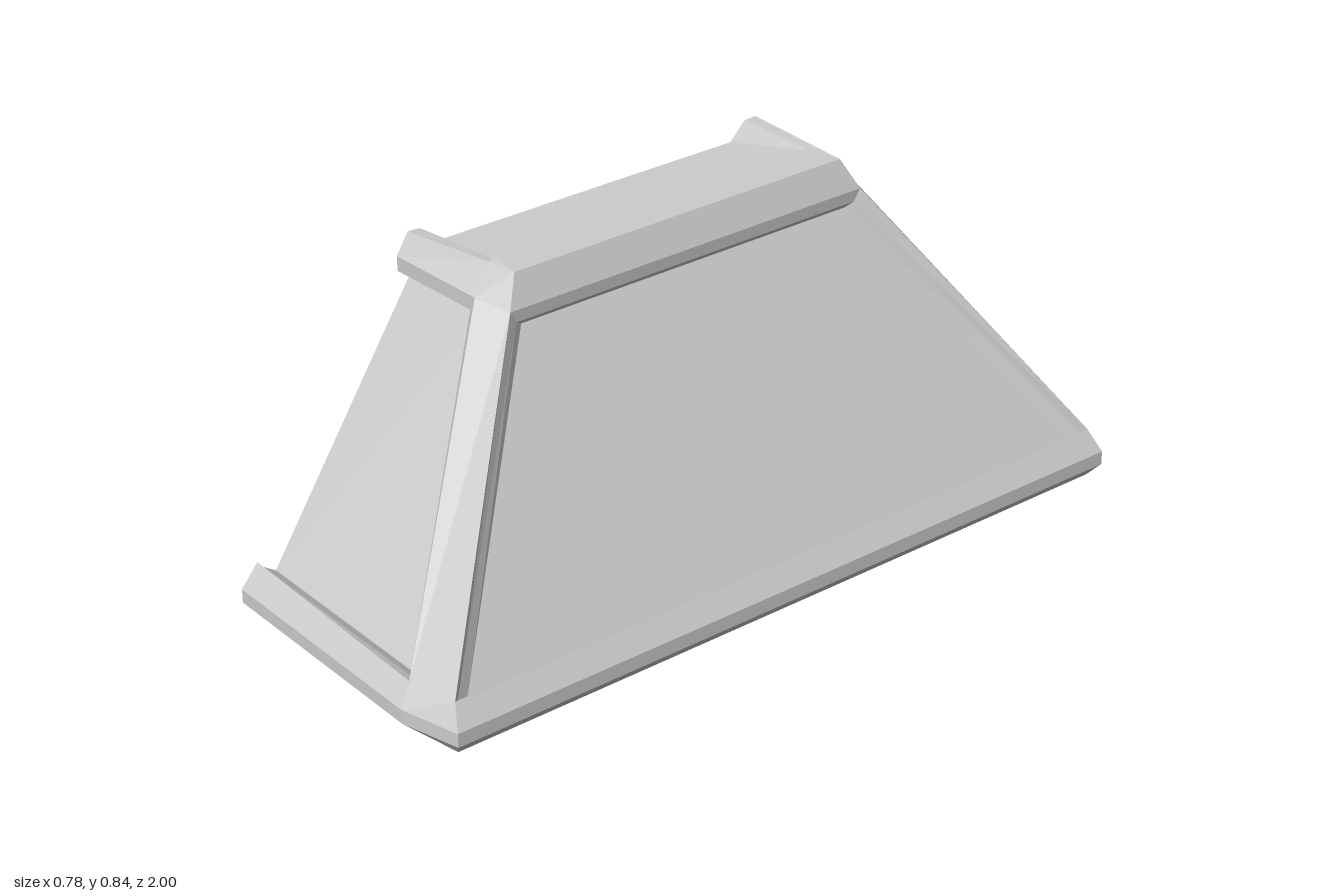
import * as THREE from 'three';

const material = new THREE.MeshStandardMaterial({ color: 0xcccccc, flatShading: true, side: THREE.DoubleSide });
const END = -0.39; // open cut end of the shell

// Skin between successive rows of points (columns run rightwards, rows run up/inwards)
function loft(name, rows) {
  const pos = [];
  for (let r = 0; r < rows.length - 1; r++) {
    const lo = rows[r], hi = rows[r + 1];
    for (let c = 0; c < lo.length - 1; c++) {
      pos.push(...lo[c], ...lo[c + 1], ...hi[c + 1], ...lo[c], ...hi[c + 1], ...hi[c]);
    }
  }
  const geometry = new THREE.BufferGeometry();
  geometry.setAttribute('position', new THREE.Float32BufferAttribute(pos, 3));
  geometry.computeVertexNormals();
  const mesh = new THREE.Mesh(geometry, material);
  mesh.name = name;
  return mesh;
}

// Front-to-back reflection, reversed so faces stay outward
const flip = (row) => row.map(([x, y, z]) => [x, y, -z]).reverse();
// Half a row on the front becomes a C running round to the back
const wrap = (half) => [...half, ...flip(half)];
// Four corners become two rows for a flat panel
const panel = (name, [a, b, c, d]) => loft(name, [[a, b], [d, c]]);

export function createModel() {
  const model = new THREE.Group();
  model.name = 'halfHippedCanopy';

  // Corners shared by rails, posts and recesses
  const baseEnd = [END, 0.13, 0.955], baseIn = [0.222, 0.125, 0.965], baseOut = [0.355, 0.13, 0.94];
  const topEnd = [END, 0.77, 0.54], topIn = [-0.1, 0.777, 0.535], topOut = [-0.008, 0.768, 0.507];

  // Chamfered base rail, with a small turned-in flange underneath
  model.add(loft('baseRail', [
    [[END, 0.025, 0.92], [0.2, 0.025, 0.92], [0.325, 0.025, 0.895]],
    [[END, 0.002, 0.925], [0.21, 0.002, 0.925], [0.33, 0.006, 0.9]],
    [[END, 0, 0.96], [0.23, 0, 0.96], [0.36, 0.005, 0.94]],
    [[END, 0.04, 1], [0.24, 0.04, 1], [0.39, 0.04, 0.96]],
    [[END, 0.075, 1], [0.24, 0.075, 1], [0.39, 0.075, 0.96]],
    [baseEnd, baseIn, baseOut],
  ].map(wrap)));

  // Top rail: flat outer faces, level top, stepping down to the roof panel
  const roof = [[END, 0.775, 0.43], [-0.145, 0.775, 0.43]];
  model.add(loft('topRail', [
    [topEnd, topIn, topOut],
    [[END, 0.822, 0.508], [-0.125, 0.838, 0.478], [-0.04, 0.842, 0.47]],
    [[END, 0.82, 0.475], [-0.135, 0.835, 0.457], [-0.135, 0.842, 0.455]],
    [...roof, roof[1]],
  ].map(wrap)));
  model.add(panel('roofPanel', wrap(roof)));

  // Corner posts and deeply recessed sloping end panels, front and back
  const post = [[baseIn, baseOut], [topIn, topOut]];
  const endPanel = [[END, 0.09, 0.908], [0.195, 0.09, 0.908], [-0.12, 0.72, 0.505], [END, 0.718, 0.505]];
  const endReveal = [
    [baseEnd, baseIn, topIn, topEnd],
    [[END, 0.115, 0.945], [0.2, 0.115, 0.942], [-0.117, 0.742, 0.536], [END, 0.733, 0.54]],
    endPanel,
  ];
  for (const side of ['front', 'back']) {
    const place = (row) => (side === 'front' ? row : flip(row));
    model.add(loft(side + 'Post', post.map(place)));
    model.add(loft(side + 'Reveal', endReveal.map(place)));
    model.add(panel(side + 'Panel', place(endPanel)));
  }

  // Long side panel, set slightly into its frame with a sloping border
  const sideLoop = (bottom, top) => [bottom, ...flip([top, bottom]), top];
  const sidePanel = sideLoop([0.335, 0.108, 0.895], [-0.02, 0.725, 0.47]);
  model.add(loft('sideReveal', [
    sideLoop(baseOut, topOut),
    sideLoop([0.344, 0.122, 0.925], [-0.01, 0.738, 0.49]),
    sidePanel,
  ].map((row) => [...row, row[0]])));
  model.add(panel('sidePanel', sidePanel));

  return model;
}
